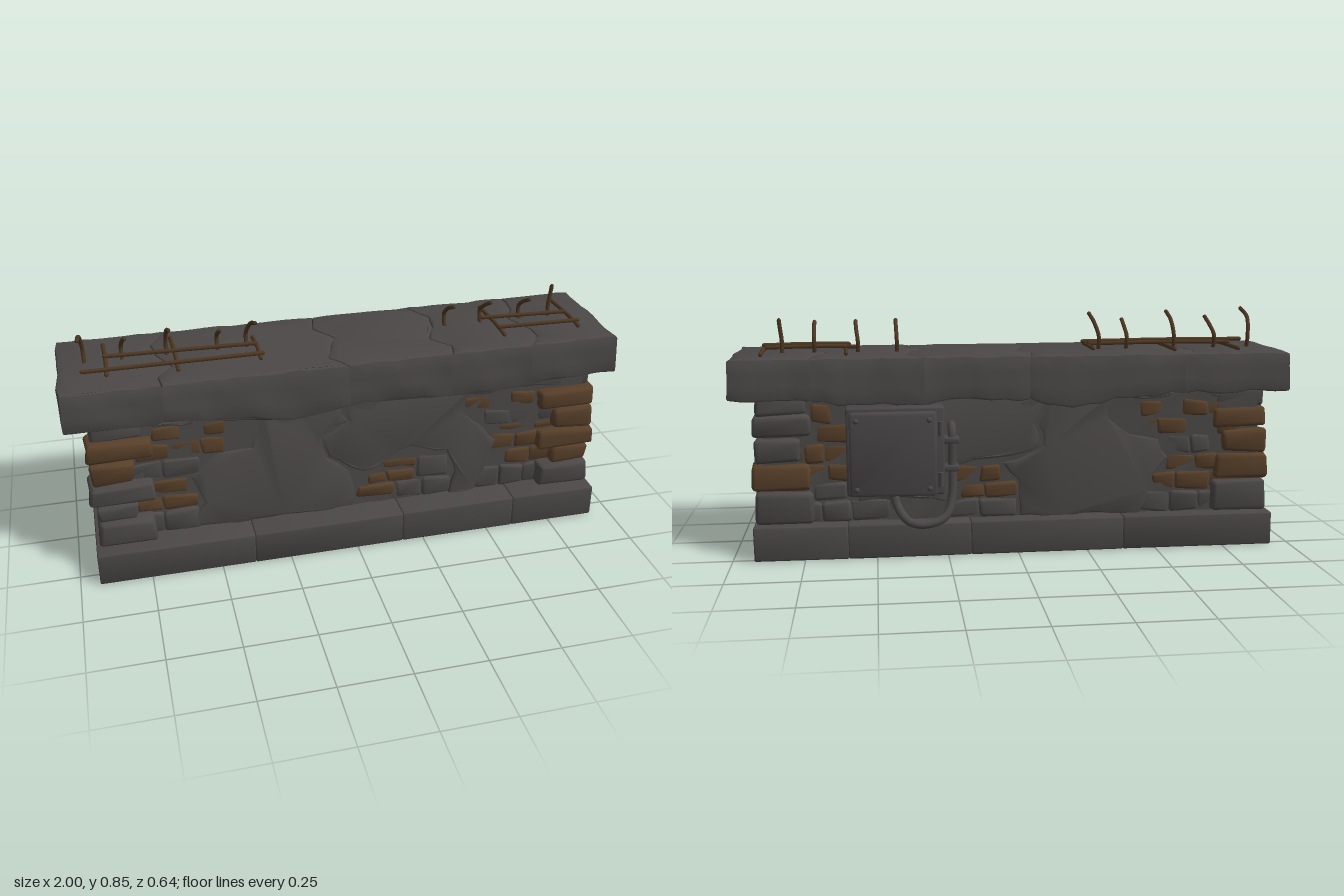
import * as THREE from 'three';
import { mergeVertices, toCreasedNormals } from 'three/addons/utils/BufferGeometryUtils.js';
import { RoundedBoxGeometry } from 'three/addons/geometries/RoundedBoxGeometry.js';

const mat = (name, color, side = THREE.FrontSide) => {
  const m = new THREE.MeshStandardMaterial({ color, side });
  m.name = name;
  return m;
};

// Smooth, repeatable unevenness
const wob = (a, b, c) => Math.sin(a * 23 + b * 41 + c * 17) * 0.6 + Math.sin(a * 61 - b * 29 + c * 47 + 1.3) * 0.4;

function roughen(geo, amp, rule) {
  geo.deleteAttribute('normal');
  geo.deleteAttribute('uv');
  geo = mergeVertices(geo, 1e-4);
  const p = geo.attributes.position;
  for (let i = 0; i < p.count; i++) {
    const [x, y, z] = [p.getX(i), p.getY(i), p.getZ(i)];
    const v = new THREE.Vector3(x + amp * wob(y, z, x), y + amp * wob(z, x, y), z + amp * wob(x, y, z));
    if (rule) rule(v);
    p.setXYZ(i, v.x, v.y, v.z);
  }
  return toCreasedNormals(geo, 0.6);
}

// Worn block given by its limits
function block(x0, x1, y0, y1, z0, z1, r, amp) {
  const g = new RoundedBoxGeometry(x1 - x0, y1 - y0, z1 - z0, 2, r);
  g.translate((x0 + x1) / 2, (y0 + y1) / 2, (z0 + z1) / 2);
  return roughen(g, amp);
}

// Broken slab: outline is subdivided and its edges chipped
function slab(points, depth, chip) {
  const out = [];
  points.forEach(([x, y], i) => {
    const [x2, y2] = points[(i + 1) % points.length];
    const n = Math.max(1, Math.round(Math.hypot(x2 - x, y2 - y) / 0.05));
    for (let k = 0; k < n; k++) {
      const a = x + (x2 - x) * k / n, b = y + (y2 - y) * k / n;
      out.push(new THREE.Vector2(a + chip * wob(b, a, 1), b + chip * wob(a, b, 2)));
    }
  });
  const e = 0.008;
  const g = new THREE.ExtrudeGeometry(new THREE.Shape(out), {
    depth: depth - 2 * e, steps: 3, bevelThickness: e, bevelSize: e, bevelOffset: -e, bevelSegments: 2,
  });
  return g.translate(0, 0, e);
}

export function createModel() {
  const model = new THREE.Group();
  model.name = 'ruinedWall';
  const stone = mat('greyStone', 0x4b4747);
  const brick = mat('brownBrick', 0x573f29);
  const metal = mat('greyMetal', 0x4a4647);
  const rust = mat('rustyIron', 0x4d3722, THREE.DoubleSide);

  const add = (parent, name, geo, material) => {
    const m = new THREE.Mesh(geo, material);
    m.name = name;
    parent.add(m);
    return m;
  };
  const group = (name, ry = 0) => {
    const g = new THREE.Group();
    g.name = name;
    g.rotation.y = ry;
    model.add(g);
    return g;
  };

  // Plinth in four lengths
  const joints = [-0.932, -0.38, 0.17, 0.6, 0.925];
  for (let i = 0; i < 4; i++) {
    add(model, 'plinthBlock', block(joints[i], joints[i + 1], 0, 0.12, -0.275, 0.314, 0.006, 0.0012), stone);
  }

  // Tapered core behind the stones
  const core = new THREE.BoxGeometry(1.78, 0.5, 0.41, 24, 8, 6).translate(0, 0.34, 0);
  add(model, 'wallCore', roughen(core, 0.006, v => { v.z *= 1.02 - 0.15 * (v.y - 0.12); }), stone);

  // Coping, cracked across into chunks
  const crack = (x, k) => [-0.225, -0.12, -0.03, 0.07, 0.14, 0.212].map((z, i) =>
    [x + (Math.abs(x) > 0.9 ? 0 : 0.035 * Math.sin(i * 2.1 + k * 1.7)), z]);
  const cuts = [-0.995, -0.64, -0.04, 0.36, 0.7, 0.995];
  for (let i = 0; i < 5; i++) {
    const a = crack(cuts[i], i), b = crack(cuts[i + 1], i + 1).reverse();
    const outline = [...a, ...b].map(([x, z]) => [x, -z]).reverse();
    const g = slab(outline, 0.14, 0.005).rotateX(-Math.PI / 2).translate(0, 0.56, 0);
    add(model, 'copingChunk', roughen(g, 0.002, v => {
      const low = (0.7 - v.y) / 0.14;
      v.z *= 1 + 0.06 * low;
      const sag = 0.04 * Math.exp(-(((v.x + 0.2) / 0.2) ** 2)) + 0.025 * Math.exp(-(((v.x - 0.45) / 0.25) ** 2));
      v.y -= low * (sag + 0.008 * wob(v.x, 0, 0) * (Math.abs(v.x) < 0.95 ? 1 : 0));
    }), stone);
  }

  // End stones: [u0, u1, y0, y1, proud, depth]; u runs from front to back
  const endStones = [
    [-0.265, -0.15, 0.12, 0.21, 0, 0.2], [-0.145, 0.1, 0.12, 0.17, -0.01, 0.1], [0.1, 0.245, 0.12, 0.235, 0, 0.2],
    [-0.25, -0.15, 0.21, 0.272, -0.005, 0.14], [-0.15, 0.13, 0.165, 0.27, -0.005, 0.1], [0.13, 0.235, 0.24, 0.33, 0.01, 0.2],
    [-0.25, -0.13, 0.275, 0.345, 0.015, 0.22], [-0.13, 0, 0.27, 0.37, 0, 0.1], [0, 0.13, 0.265, 0.37, 0.005, 0.1],
    [-0.235, -0.145, 0.35, 0.43, 0.005, 0.15], [-0.145, 0, 0.37, 0.44, 0, 0.1], [0, 0.13, 0.37, 0.43, 0, 0.1],
    [0.13, 0.225, 0.335, 0.42, 0, 0.16], [-0.235, -0.125, 0.435, 0.508, 0.01, 0.22], [-0.12, -0.05, 0.435, 0.5, 0, 0.1],
    [-0.05, 0.08, 0.43, 0.5, -0.005, 0.1], [0.08, 0.212, 0.425, 0.5, 0.005, 0.2],
    [-0.2, 0, 0.505, 0.57, -0.005, 0.18], [0, 0.2, 0.5, 0.57, -0.005, 0.18],
  ];
  const ends = [['rightEnd', 1, '0001110000110'.slice(0, 3) + '111' + '100' + '100' + '0' + '110000'],
    ['leftEnd', -1, '000' + '011' + '010' + '110' + '1' + '101100']];
  for (const [name, s, brown] of ends) {
    const end = group(name, s * Math.PI / 2);
    endStones.forEach(([u0, u1, y0, y1, proud, d], i) => {
      const [a, b] = s > 0 ? [u0, u1] : [-u1, -u0];
      add(end, 'endStone', block(a, b, y0, y1, 0.918 + proud - d, 0.918 + proud, 0.015, 0.006),
        brown[i] === '1' ? brick : stone);
    });
  }

  // Long faces: courses [x0, x1, y0, y1, count, brown] and broken render slabs
  const front = {
    courses: [
      [-0.82, -0.33, 0.48, 0.535, 5, 1], [-0.84, -0.37, 0.41, 0.475, 5, 1], [-0.8, -0.55, 0.335, 0.405, 2, 0],
      [-0.72, -0.59, 0.27, 0.33, 1, 1], [-0.78, -0.56, 0.21, 0.265, 2, 1], [-0.8, -0.56, 0.12, 0.205, 2, 0],
      [0.42, 0.82, 0.45, 0.51, 4, 1], [0.5, 0.8, 0.38, 0.445, 3, 0], [0.56, 0.82, 0.345, 0.38, 2, 1],
      [0.53, 0.8, 0.275, 0.34, 3, 1], [0.6, 0.83, 0.21, 0.27, 2, 1], [0.48, 0.8, 0.12, 0.205, 3, 0],
      [0.02, 0.16, 0.145, 0.195, 1, 1], [0.06, 0.24, 0.2, 0.245, 2, 1], [0.12, 0.25, 0.25, 0.29, 1, 1],
      [0.17, 0.38, 0.125, 0.195, 2, 0], [0.25, 0.37, 0.2, 0.29, 1, 0],
    ],
    slabs: [
      [[-0.62, 0.12], [0, 0.12], [0.01, 0.2], [-0.01, 0.27], [-0.1, 0.33], [-0.12, 0.42], [-0.02, 0.47], [-0.05, 0.56],
        [-0.85, 0.56], [-0.8, 0.535], [-0.33, 0.535], [-0.36, 0.42], [-0.5, 0.4], [-0.58, 0.32], [-0.54, 0.22]],
      [[0.05, 0.25], [0.15, 0.3], [0.22, 0.34], [0.36, 0.3], [0.4, 0.2], [0.38, 0.12], [0.48, 0.12], [0.53, 0.24],
        [0.55, 0.32], [0.5, 0.38], [0.42, 0.45], [0.44, 0.515], [0.8, 0.52], [0.85, 0.56], [-0.04, 0.56], [-0.01, 0.47],
        [-0.11, 0.42], [-0.09, 0.335], [0, 0.28]],
    ],
  };
  const back = {
    courses: [
      [-0.82, -0.58, 0.47, 0.54, 3, 1], [-0.82, -0.56, 0.4, 0.465, 2, 1], [-0.82, -0.58, 0.33, 0.395, 3, 1],
      [-0.82, -0.56, 0.265, 0.325, 2, 1], [-0.8, -0.5, 0.2, 0.26, 3, 0], [-0.8, -0.45, 0.12, 0.195, 3, 0],
      [-0.24, -0.06, 0.25, 0.31, 2, 1], [-0.2, 0, 0.19, 0.245, 2, 1], [-0.25, 0, 0.12, 0.185, 2, 0],
      [0.33, 0.82, 0.47, 0.53, 5, 1], [0.43, 0.82, 0.405, 0.465, 4, 1], [0.55, 0.82, 0.335, 0.4, 3, 0],
      [0.55, 0.82, 0.27, 0.33, 3, 1], [0.5, 0.82, 0.2, 0.265, 3, 1], [0.45, 0.82, 0.12, 0.195, 3, 0],
    ],
    slabs: [
      [[-0.56, 0.2], [-0.25, 0.19], [-0.24, 0.32], [-0.06, 0.33], [0.1, 0.37], [0.07, 0.46], [0.13, 0.56], [-0.84, 0.56],
        [-0.8, 0.54], [-0.57, 0.54]],
      [[0.01, 0.12], [0.45, 0.12], [0.5, 0.25], [0.55, 0.32], [0.52, 0.39], [0.42, 0.41], [0.34, 0.47], [0.34, 0.535],
        [0.85, 0.54], [0.85, 0.56], [0.14, 0.56], [0.085, 0.46], [0.11, 0.37], [-0.05, 0.31], [0.01, 0.25]],
    ],
  };
  const faceZ = y => 0.218 - 0.06 * (y - 0.12);
  [['frontFace', 0, front], ['backFace', Math.PI, back]].forEach(([name, ry, data]) => {
    const face = group(name, ry);
    for (const [x0, x1, y0, y1, n, brown] of data.courses) {
      const at = k => x0 + (x1 - x0) * (k + (k > 0 && k < n ? 0.2 * Math.sin(k * 5 + y0 * 60) : 0)) / n;
      for (let k = 0; k < n; k++) {
        const z = faceZ(y0) + 0.004 * Math.sin(k * 3 + y0 * 90);
        add(face, brown ? 'brick' : 'faceStone', block(at(k), at(k + 1), y0, y1, z - 0.08, z, 0.012, 0.005), brown ? brick : stone);
      }
    }
    for (const pts of data.slabs) {
      const g = slab(pts, 0.04, 0.008);
      add(face, 'renderSlab', roughen(g, 0.003, v => { v.z += faceZ(v.y) - 0.036; }), stone);
    }
  });

  // Metal cabinet on the back
  const cabinet = group('cabinet');
  add(cabinet, 'cabinetBody', block(0.262, 0.6, 0.225, 0.535, -0.285, -0.19, 0.008, 0.0015), metal);
  add(cabinet, 'cabinetDoor', block(0.29, 0.588, 0.228, 0.522, -0.314, -0.28, 0.01, 0.0015), metal);
  for (const x of [0.315, 0.565]) for (const y of [0.255, 0.495]) {
    add(cabinet, 'rivet', new THREE.SphereGeometry(0.01, 10, 6), metal).position.set(x, y, -0.314);
  }
  for (const y of [0.28, 0.46]) {
    add(cabinet, 'hinge', new THREE.CylinderGeometry(0.01, 0.01, 0.05, 10), metal).position.set(0.275, y, -0.292);
  }
  const pipePath = new THREE.CatmullRomCurve3([[0.44, 0.25, -0.25], [0.43, 0.19, -0.265], [0.39, 0.135, -0.295], [0.33, 0.122, -0.297],
    [0.26, 0.145, -0.28], [0.235, 0.21, -0.255], [0.232, 0.32, -0.24], [0.232, 0.44, -0.235], [0.232, 0.46, -0.2]]
    .map(p => new THREE.Vector3(...p)));
  add(cabinet, 'conduit', new THREE.TubeGeometry(pipePath, 40, 0.015, 10), metal);
  for (const y of [0.3, 0.4]) add(cabinet, 'pipeClip', block(0.208, 0.265, y, y + 0.022, -0.262, -0.19, 0.005, 0.0005), metal);

  // Exposed reinforcement bars
  const bars = group('reinforcement');
  const rod = (name, pts) => {
    const path = new THREE.CatmullRomCurve3(pts.map(p => new THREE.Vector3(...p)));
    add(bars, name, new THREE.TubeGeometry(path, 12, 0.0075, 7), rust);
    for (const p of [pts[0], pts[pts.length - 1]]) {
      add(bars, 'barEnd', new THREE.SphereGeometry(0.0075, 7, 5), rust).position.set(...p);
    }
  };
  for (const [x0, x1, z0, z1] of [[-0.83, -0.3, -0.02, -0.005], [-0.91, -0.29, 0.085, 0.08], [0.56, 0.88, -0.02, -0.005], [0.59, 0.9, 0.075, 0.08]]) {
    rod('longBar', [[x0, 0.72, z0], [(x0 + x1) / 2, 0.721, (z0 + z1) / 2 + 0.004], [x1, 0.718, z1]]);
  }
  for (const [x, z0, z1] of [[-0.83, -0.14, 0.1], [-0.59, -0.145, 0.12], [-0.3, -0.08, 0.1], [0.595, -0.14, 0.12], [0.89, -0.145, 0.11]]) {
    rod('crossBar', [[x, 0.708, z0], [x + 0.003, 0.71, 0], [x, 0.708, z1]]);
  }
  // Uprights: [x, height, lean, forward reach]
  for (const [x, h, lean, reach] of [[-0.9, 0.838, -0.012, 0.09], [-0.77, 0.81, 0.012, 0.05], [-0.615, 0.83, 0.006, 0.06],
    [-0.435, 0.803, 0.002, 0.045], [-0.33, 0.825, 0.02, 0.06], [0.415, 0.808, 0.002, 0.055], [0.555, 0.806, 0.008, 0.045],
    [0.71, 0.805, 0.002, 0.05], [0.825, 0.818, 0.008, -0.025]]) {
    const bow = reach < 0 ? 0 : 1;
    rod('upright', [[x, 0.695, -0.025], [x, 0.745, -0.025 - 0.012 * bow], [x + lean * 0.6, h - 0.03, -0.025 + 0.02 * bow], [x + lean, h, reach]]);
  }
  return model;
}
